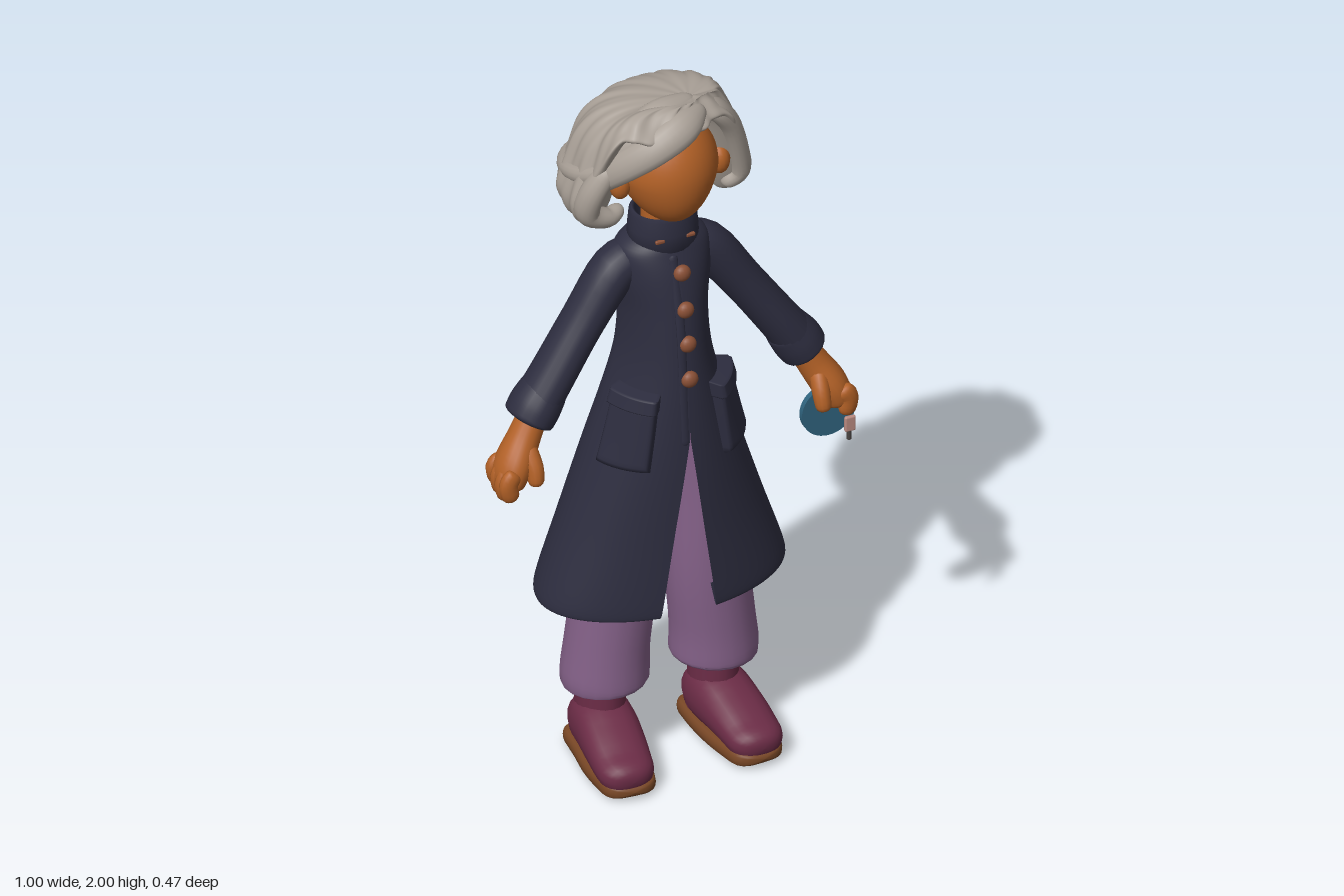
import * as THREE from 'three';
import { RoundedBoxGeometry } from 'three/addons/geometries/RoundedBoxGeometry.js';

const mat = (name, color, extra = {}) => Object.assign(new THREE.MeshStandardMaterial({ color, ...extra }), { name });

// Catmull-Rom interpolation of rows of numbers
function spline(rows, u) {
  const n = rows.length - 1, s = Math.min(Math.max(u, 0), 1) * n;
  const i = Math.min(Math.floor(s), n - 1), t = s - i;
  const [a, b, c, d] = [-1, 0, 1, 2].map(k => rows[Math.min(Math.max(i + k, 0), n)]);
  return b.map((v, k) => v + 0.5 * t * (c[k] - a[k] + t * (2 * a[k] - 5 * v + 4 * c[k] - d[k]
    + t * (3 * (v - c[k]) + d[k] - a[k]))));
}

// Surface from a rule; v runs counter-clockwise around the direction of u
function grid(nu, nv, closed, rule) {
  const pos = [], idx = [], w = closed ? nv : nv + 1;
  for (let i = 0; i <= nu; i++) for (let j = 0; j < w; j++) pos.push(...rule(i / nu, j / nv));
  for (let i = 0; i < nu; i++) for (let j = 0; j < nv; j++) {
    const k = (j + 1) % w, a = i * w + j, b = i * w + k;
    idx.push(a, b, a + w, b, b + w, a + w);
  }
  const g = new THREE.BufferGeometry();
  g.setAttribute('position', new THREE.Float32BufferAttribute(pos, 3));
  g.setIndex(idx);
  g.computeVertexNormals();
  return g;
}

// Rounded limb through rows of [x, y, z, radius along ref, radius across]
function limb(rows, { end = 0.04, ref = () => new THREE.Vector3(0, 0, 1), power = 1, nu = 24, nv = 20 } = {}) {
  const at = u => new THREE.Vector3(...spline(rows, u).slice(0, 3));
  let len = 0;
  for (let i = 1; i < rows.length; i++) len += Math.hypot(...[0, 1, 2].map(k => rows[i][k] - rows[i - 1][k]));
  const bend = v => Math.sign(v) * Math.abs(v) ** power;
  return grid(nu, nv, true, (s, v) => {
    const u = 0.5 - 0.5 * Math.cos(Math.PI * s), p = at(u), row = spline(rows, u);
    const T = at(Math.min(u + 0.01, 1)).sub(at(Math.max(u - 0.01, 0))).normalize();
    const N = ref(p).clone().addScaledVector(T, -ref(p).dot(T)).normalize();
    const B = new THREE.Vector3().crossVectors(T, N);
    const d = Math.min(1, Math.min(u, 1 - u) * len / end), f = Math.sqrt(Math.max(0, 1 - (1 - d) ** 2));
    const a = v * Math.PI * 2;
    return p.addScaledVector(N, bend(Math.cos(a)) * row[3] * f).addScaledVector(B, bend(Math.sin(a)) * row[4] * f).toArray();
  });
}

// Coat body: rows of [y, half width, front z, back z] from inner hem to neck
const coat = [[0.56, 0.302, 0.178, -0.215], [0.505, 0.323, 0.192, -0.23], [0.53, 0.332, 0.199, -0.236], [0.72, 0.27, 0.192, -0.208],
  [0.92, 0.207, 0.186, -0.168], [1.08, 0.158, 0.176, -0.125], [1.22, 0.122, 0.162, -0.094], [1.35, 0.114, 0.146, -0.085],
  [1.46, 0.128, 0.125, -0.085], [1.53, 0.122, 0.102, -0.078], [1.57, 0.07, 0.085, -0.06]];
function coatPoint(u, a, puff = 0) {
  const [y, rx, zf, zb] = spline(coat, u), c = Math.cos(a);
  const crease = Math.exp(-(((a - Math.PI) / 0.07) ** 2)) * Math.max(0, 1 - y) * 0.06;
  return [Math.sin(a) * (rx + puff), y, c * (c > 0 ? zf + puff : -zb - crease)];
}

export function createModel() {
  const M = {
    coat: mat('navy cloth', 0x2d2d3f, { side: THREE.DoubleSide }), skin: mat('skin', 0xb16026),
    hair: mat('grey hair', 0xa79e95, { side: THREE.DoubleSide }), trouser: mat('mauve cloth', 0x846188),
    boot: mat('plum leather', 0x6b2c46), sole: mat('brown rubber', 0x774625), button: mat('wood', 0x8a5036),
    disc: mat('teal', 0x2f637e), key: mat('pale pink', 0xb98a80), metal: mat('dark metal', 0x4a4442),
  };
  const model = new THREE.Group();
  const add = (name, geo, m, x = 0, y = 0, z = 0) => {
    const mesh = new THREE.Mesh(geo, m);
    mesh.name = name;
    mesh.position.set(x, y, z);
    model.add(mesh);
    return mesh;
  };
  const up = () => new THREE.Vector3(0, 1, 0);

  // Legs, boots, arms and coat halves, one pass for each side
  for (const s of [1, -1]) {
    const side = s > 0 ? 'left' : 'right', m = rows => rows.map(([x, ...r]) => [s * x, ...r]);
    add(side + 'TrouserLeg', limb(m([[0.08, 1.05, 0, 0.07, 0.07], [0.122, 0.78, 0, 0.098, 0.098], [0.128, 0.52, 0, 0.106, 0.108],
      [0.145, 0.34, -0.005, 0.11, 0.11], [0.151, 0.25, -0.007, 0.114, 0.115], [0.151, 0.225, -0.007, 0.11, 0.11]]), { end: 0.015 }), M.trouser);
    add(side + 'BootShaft', limb(m([[0.157, 0.04, -0.025, 0.08, 0.07], [0.157, 0.12, -0.022, 0.08, 0.064],
      [0.157, 0.25, -0.02, 0.077, 0.06]]), { end: 0.02 }), M.boot);
    add(side + 'BootFoot', limb(m([[0.157, 0.08, -0.105, 0.06, 0.076], [0.16, 0.095, 0, 0.08, 0.08],
      [0.17, 0.083, 0.09, 0.063, 0.08], [0.178, 0.062, 0.17, 0.048, 0.075], [0.18, 0.056, 0.235, 0.044, 0.066]]),
      { ref: up, end: 0.07, power: 0.85 }), M.boot);
    add(side + 'Sole', limb(m([[0.157, 0.024, -0.113, 0.024, 0.074], [0.16, 0.022, 0, 0.022, 0.08],
      [0.17, 0.022, 0.1, 0.022, 0.081], [0.18, 0.028, 0.238, 0.022, 0.068]]), { ref: up, end: 0.05, power: 0.5 }), M.sole);

    add(side + 'Sleeve', limb(m([[0.05, 1.5, 0, 0.055, 0.04], [0.125, 1.468, 0.003, 0.064, 0.06], [0.22, 1.34, 0.012, 0.064, 0.055],
      [0.31, 1.21, 0.025, 0.067, 0.056], [0.375, 1.115, 0.033, 0.07, 0.06]]), { end: 0.03 }), M.coat);
    add(side + 'Cuff', limb(m([[0.325, 1.185, 0.026, 0.066, 0.056], [0.36, 1.135, 0.03, 0.073, 0.065],
      [0.386, 1.093, 0.034, 0.071, 0.063]]), { end: 0.02 }), M.coat);
    add(side + 'Palm', limb(m([[0.36, 1.13, 0.035, 0.04, 0.036], [0.4, 1.06, 0.048, 0.045, 0.042],
      [0.44, 0.99, 0.064, 0.058, 0.047], [0.458, 0.935, 0.07, 0.05, 0.036]]), { end: 0.03 }), M.skin);
    for (let i = 0; i < 4; i++) {
      const z = 0.03 + i * 0.027, drop = [0.018, 0.005, 0, 0.008][i];
      add(side + 'Finger' + (i + 1), limb(m([[0.45, 1.0, z, 0.018, 0.026], [0.472, 0.96 + drop, z, 0.019, 0.026],
        [0.462, 0.91 + drop, z, 0.018, 0.024]]), { end: 0.024, nu: 14, nv: 12 }), M.skin);
    }
    add(side + 'Thumb', limb(m([[0.405, 1.05, 0.07, 0.024, 0.024], [0.398, 1.0, 0.105, 0.025, 0.023],
      [0.4, 0.95, 0.12, 0.021, 0.02]]), { end: 0.024, nu: 14, nv: 12 }), M.skin);

    // Skirt half with an open front edge and a fine slit behind
    const open = s > 0 ? 0.065 : 0.085;
    add(side + 'CoatHalf', grid(70, 40, false, (u, v) => {
      const [y, rx] = spline(coat, u);
      const gap = Math.asin(open * Math.max(0, 1.02 - y) / 0.51 / rx);
      const slit = 0.01 * Math.max(0, 0.85 - y) / 0.34, w = s > 0 ? v : 1 - v;
      const a = gap + w * (Math.PI - slit - gap);
      return coatPoint(u, s > 0 ? a : 2 * Math.PI - a);
    }), M.coat);

    // Patch pocket and its flap, following the coat
    for (const [part, u0, u1, a0, a1, puff] of [['Pocket', 0.405, 0.535, 0.52, 1.3, 0.02], ['PocketFlap', 0.518, 0.55, 0.5, 1.33, 0.027]]) {
      add(side + part, grid(20, 24, false, (u, v) => {
        const edge = Math.min(1, 10 * Math.min(u, 1 - u, v, 1 - v)), w = s > 0 ? v : 1 - v;
        const bulge = -0.004 + (puff + 0.004 + 0.012 * (part === 'Pocket' ? u : 1)) * Math.sqrt(1 - (1 - edge) ** 2);
        return coatPoint(u0 + u * (u1 - u0), s * (a0 + w * (a1 - a0)), bulge);
      }), M.coat);
    }

    add(side + 'Ear', new THREE.SphereGeometry(1, 16, 12), M.skin, s * 0.138, 1.755, 0.055).scale.set(0.028, 0.042, 0.03);
    add(side + 'CollarClasp', new RoundedBoxGeometry(0.026, 0.011, 0.01, 2, 0.004), M.button, s * 0.042, 1.572, 0.09);
  }

  const collar = [[0.07, 1.53], [0.094, 1.535], [0.091, 1.58], [0.087, 1.622], [0.08, 1.632], [0.072, 1.625], [0.068, 1.55]];
  add('collar', new THREE.LatheGeometry(collar.map(p => new THREE.Vector2(...p)), 32), M.coat, 0, 0, 0.014).scale.z = 0.92;
  add('frontPlacket', limb([[-0.012, 1.0, 0.178, 0.006, 0.012], [-0.012, 1.22, 0.16, 0.006, 0.012], [-0.012, 1.35, 0.145, 0.006, 0.012],
    [-0.012, 1.53, 0.102, 0.006, 0.012]], { end: 0.01, nv: 10 }), M.coat);
  [[1.19, 0.168], [1.29, 0.157], [1.385, 0.143], [1.485, 0.123]].forEach(([y, z], i) =>
    add('button' + (i + 1), new THREE.SphereGeometry(0.023, 16, 12), M.button, 0.004, y, z).scale.set(1, 1, 0.75));

  // Head and neck
  add('neck', new THREE.CylinderGeometry(0.055, 0.06, 0.18, 24), M.skin, 0, 1.6, 0.018);
  const head = new THREE.SphereGeometry(1, 40, 28), p = head.attributes.position;
  for (let i = 0; i < p.count; i++) {
    const low = Math.max(0, -p.getY(i));
    p.setX(i, p.getX(i) * (1 - 0.18 * low));
    p.setZ(i, p.getZ(i) + 0.16 * low * low);
  }
  head.computeVertexNormals();
  add('head', head, M.skin, 0, 1.775, 0.03).scale.set(0.132, 0.152, 0.145);

  // Hair bob: rows of [radius, y] from inside the hem to the crown, raised over the face and gathered at the parting
  const bob = [[0.125, 1.78], [0.135, 1.69], [0.17, 1.642], [0.22, 1.655], [0.243, 1.715], [0.22, 1.8], [0.192, 1.88],
    [0.15, 1.945], [0.09, 1.985], [0, 1.995]];
  add('hairBob', grid(60, 180, true, (u, v) => {
    const a = v * Math.PI * 2, [r0, y0] = spline(bob, u);
    const face = 1 - THREE.MathUtils.smoothstep(Math.acos(Math.cos(a)), 0.7, 1.35);
    const brow = Math.exp(-(((a - 0.5) / 0.4) ** 2));
    const hem = THREE.MathUtils.lerp(1.64, 1.915, face), top = THREE.MathUtils.smoothstep(u, 0.55, 1);
    const wave = Math.sin(15 * a + 6 * u) + 0.7 * Math.sin(26 * a - 5 * u + 1);
    const r = Math.max(0, r0) * (1 + 0.02 * wave * Math.min(1, r0 / 0.15)) * (1 - 0.08 * face - 0.1 * brow);
    const y = 2 - (2 - y0) * (2 - hem) / 0.36 + 0.008 * Math.sin(11 * a + 2) * (1 - u) - 0.02 * top ** 4;
    const c = Math.cos(a);
    return [Math.sin(a) * r * 1.03 - 0.012 + 0.06 * top ** 2, y, c * r * (c > 0 ? 0.84 : 0.82) - 0.012 + 0.075 * top ** 2];
  }), M.hair);

  // Swept locks, flattened against the head
  const out = q => new THREE.Vector3(q.x, q.y - 1.78, q.z + 0.01).normalize();
  [
    ['fringe', [[0.07, 1.955, 0.095, 0.02, 0.02], [0, 1.945, 0.142, 0.03, 0.045], [-0.085, 1.905, 0.15, 0.028, 0.045],
      [-0.16, 1.84, 0.105, 0.026, 0.042], [-0.205, 1.77, 0.04, 0.024, 0.035]]],
    ['upperSweep', [[0.06, 1.97, 0.07, 0.015, 0.02], [-0.04, 1.963, 0.095, 0.025, 0.045], [-0.125, 1.91, 0.09, 0.025, 0.045],
      [-0.19, 1.83, 0.04, 0.022, 0.04], [-0.215, 1.76, -0.04, 0.022, 0.03]]],
    ['wrapLock', [[-0.14, 1.87, 0.12, 0.015, 0.02], [-0.21, 1.8, 0.05, 0.022, 0.025], [-0.232, 1.765, -0.05, 0.022, 0.024],
      [-0.19, 1.745, -0.14, 0.022, 0.022], [-0.11, 1.75, -0.195, 0.012, 0.012]]],
    ['rightCurl', [[-0.175, 1.84, 0.085, 0.025, 0.03], [-0.22, 1.76, 0.07, 0.03, 0.035], [-0.225, 1.69, 0.05, 0.032, 0.036],
      [-0.17, 1.66, 0.05, 0.026, 0.03], [-0.125, 1.675, 0.035, 0.015, 0.018]]],
    ['leftFringe', [[0.065, 1.962, 0.08, 0.02, 0.02], [0.115, 1.93, 0.085, 0.026, 0.035], [0.16, 1.865, 0.07, 0.028, 0.036],
      [0.19, 1.77, 0.055, 0.028, 0.034], [0.2, 1.695, 0.04, 0.028, 0.034], [0.155, 1.66, 0.035, 0.02, 0.024]]],
  ].forEach(([name, rows]) => add(name, limb(rows, { ref: out, end: 0.035, nu: 30, nv: 16 }), M.hair));

  // Disc with a small key, held in the left hand
  add('disc', new THREE.CylinderGeometry(0.075, 0.075, 0.016, 40), M.disc, 0.424, 0.932, 0.088).rotation.x = Math.PI / 2;
  add('keyHead', new RoundedBoxGeometry(0.03, 0.045, 0.012, 2, 0.005), M.key, 0.464, 0.905, 0.135);
  add('keyStem', new THREE.CylinderGeometry(0.006, 0.006, 0.05, 10), M.metal, 0.464, 0.88, 0.13);
  return model;
}
